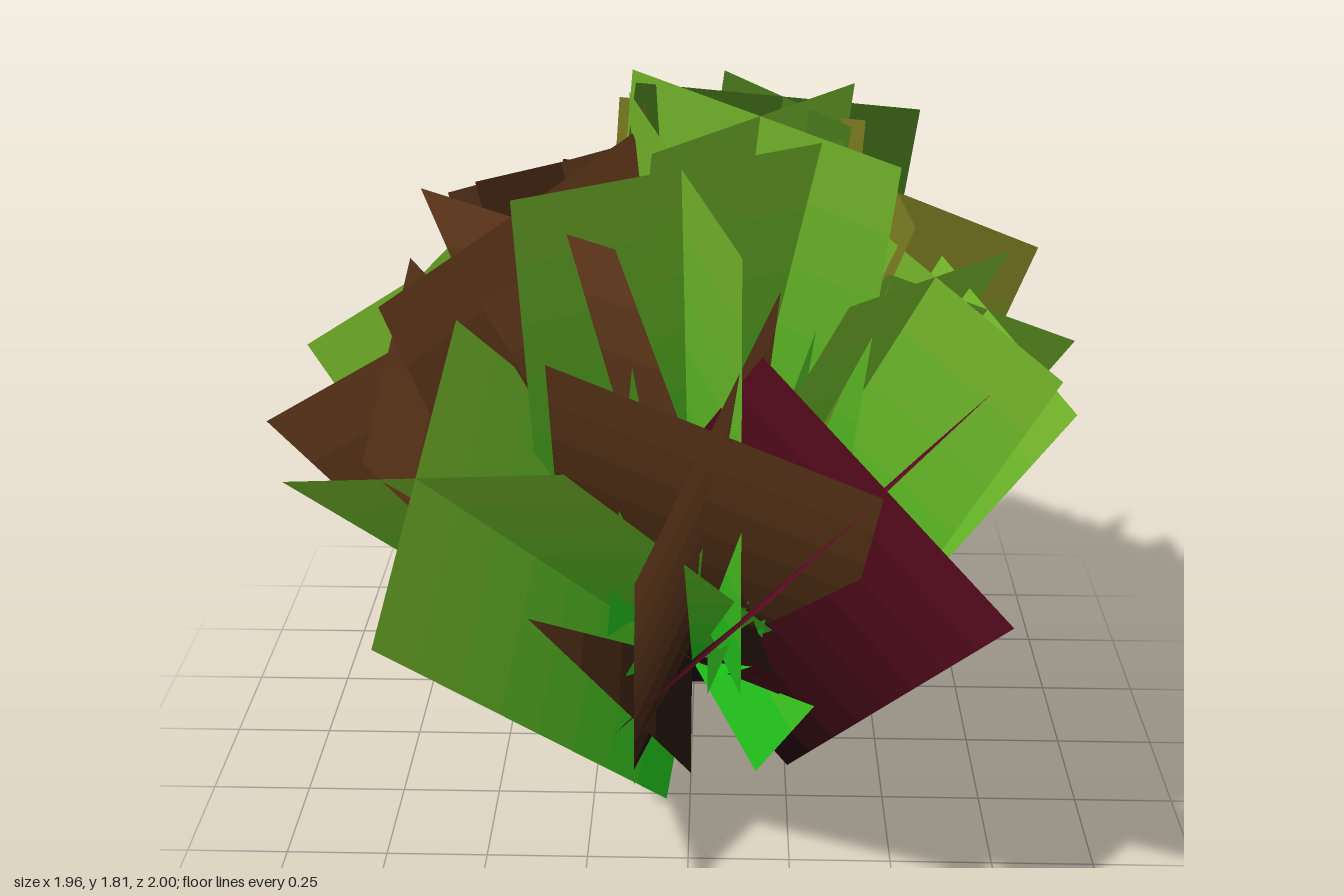
import * as THREE from 'three';

const ORIGIN = new THREE.Vector3(0, 0.25, 0);
const BANDS = 8;

// Colour ramps from root to tip
const RAMPS = {
  green: [0x0cb818, 0x74b02a],
  olive: [0x0f8a14, 0x74701e],
  dark: [0x0c8a14, 0x446e1a],
  brown: [0x080605, 0x754522],
  umber: [0x080605, 0x4c2c16],
  red: [0x050303, 0x821222],
  wine: [0x050303, 0x620e22],
};

// Two crossed sheets standing on the local origin and rising along +y
function crossedSheets(name, width, length, [root, tip], bands = BANDS) {
  const group = new THREE.Group();
  group.name = name;
  const h = length / bands;
  for (let i = 0; i < bands; i++) {
    const color = new THREE.Color(root).lerp(new THREE.Color(tip), (i + 0.5) / bands);
    const material = new THREE.MeshStandardMaterial({ color, side: THREE.DoubleSide });
    const geometry = new THREE.PlaneGeometry(width, h).translate(0, (i + 0.5) * h, 0);
    for (const turn of [0, Math.PI / 2]) {
      const sheet = new THREE.Mesh(geometry, material);
      sheet.name = name + 'Sheet';
      sheet.rotation.y = turn;
      group.add(sheet);
    }
  }
  return group;
}

// Aim a group's y axis along `axis`, with its x axis nearest to (dx, dz)
function aim(group, base, axis, dx, dz) {
  const side = new THREE.Vector3(dx, -(dx * axis.x + dz * axis.z) / axis.y, dz).normalize();
  const other = new THREE.Vector3().crossVectors(side, axis);
  group.quaternion.setFromRotationMatrix(new THREE.Matrix4().makeBasis(side, axis, other));
  group.position.copy(base);
}

// Large fronds: tip x, tip z, direction of one tip corner (dx, dz), ramp
const FRONDS = [
  [0.54, -0.71, 0.24, 0.31, 'red'],
  [0.41, 0.74, 0.25, -0.27, 'wine'],
  [-0.02, -0.59, -0.18, -0.27, 'wine'],
  [-0.71, -0.355, -0.25, 0.235, 'green'],
  [-0.57, 0.66, 0.34, 0.16, 'green'],
  [-0.69, 0.265, -0.29, -0.045, 'brown'],
  [0.7, 0.04, 0.3, -0.24, 'green'],
  [0.55, 0.2, 0.26, 0.21, 'green'],
  [0.49, -0.15, 0.31, 0.01, 'olive'],
  [-0.345, -0.385, 0.165, -0.315, 'umber'],
  [0.1, -0.355, -0.28, -0.2, 'olive'],
  [0.05, 0.7, 0.34, 0.11, 'brown'],
  [-0.4, 0.22, 0.23, -0.215, 'brown'],
  [-0.02, 0.31, 0.34, -0.12, 'green'],
  [0.15, 0.1, -0.22, 0.285, 'green'],
  [0.21, -0.2, 0.335, -0.13, 'dark'],
];

export function createModel() {
  const model = new THREE.Group();
  model.name = 'bush';

  // Large fronds fanned out as a dome, the steep ones set higher
  for (const [x, z, dx, dz, ramp] of FRONDS) {
    const r = Math.hypot(x, z);
    const lift = THREE.MathUtils.clamp(0.45 * (1 - r / 0.7), 0, 0.28);
    const tip = new THREE.Vector3(x, ORIGIN.y + Math.sqrt(1.5625 - r * r) + lift, z);
    const axis = tip.clone().sub(ORIGIN).normalize();
    const frond = crossedSheets('frond', 0.75, 1.25, RAMPS[ramp]);
    aim(frond, tip.addScaledVector(axis, -1.25), axis, dx, dz);
    model.add(frond);
  }

  // Small bright leaves around the foot
  for (let i = 0; i < 5; i++) {
    const a = (i / 5) * Math.PI * 2 + 0.6;
    const axis = new THREE.Vector3(Math.cos(a), 0.7 + 0.2 * (i % 2), Math.sin(a)).normalize();
    const leaf = crossedSheets('smallLeaf', 0.16, 0.26, [0x12b412, 0x1cc418], 1);
    const base = new THREE.Vector3(0, 0.25, 0).addScaledVector(axis, 0.12);
    aim(leaf, base, axis, Math.cos(a * 3), Math.sin(a * 3));
    model.add(leaf);
  }

  // Dark stem of crossed sheets that widen upwards
  const outline = new THREE.Shape([[-0.035, 0.18], [0.035, 0.18], [0.075, 0.75], [0, 0.64], [-0.075, 0.75]]
    .map(([x, y]) => new THREE.Vector2(x, y)));
  const stemGeometry = new THREE.ShapeGeometry(outline);
  const stemMaterial = new THREE.MeshStandardMaterial({ color: 0x080808, side: THREE.DoubleSide });
  for (const turn of [0, Math.PI / 2]) {
    const stem = new THREE.Mesh(stemGeometry, stemMaterial);
    stem.name = 'stem';
    stem.rotation.y = turn;
    model.add(stem);
  }
  return model;
}
